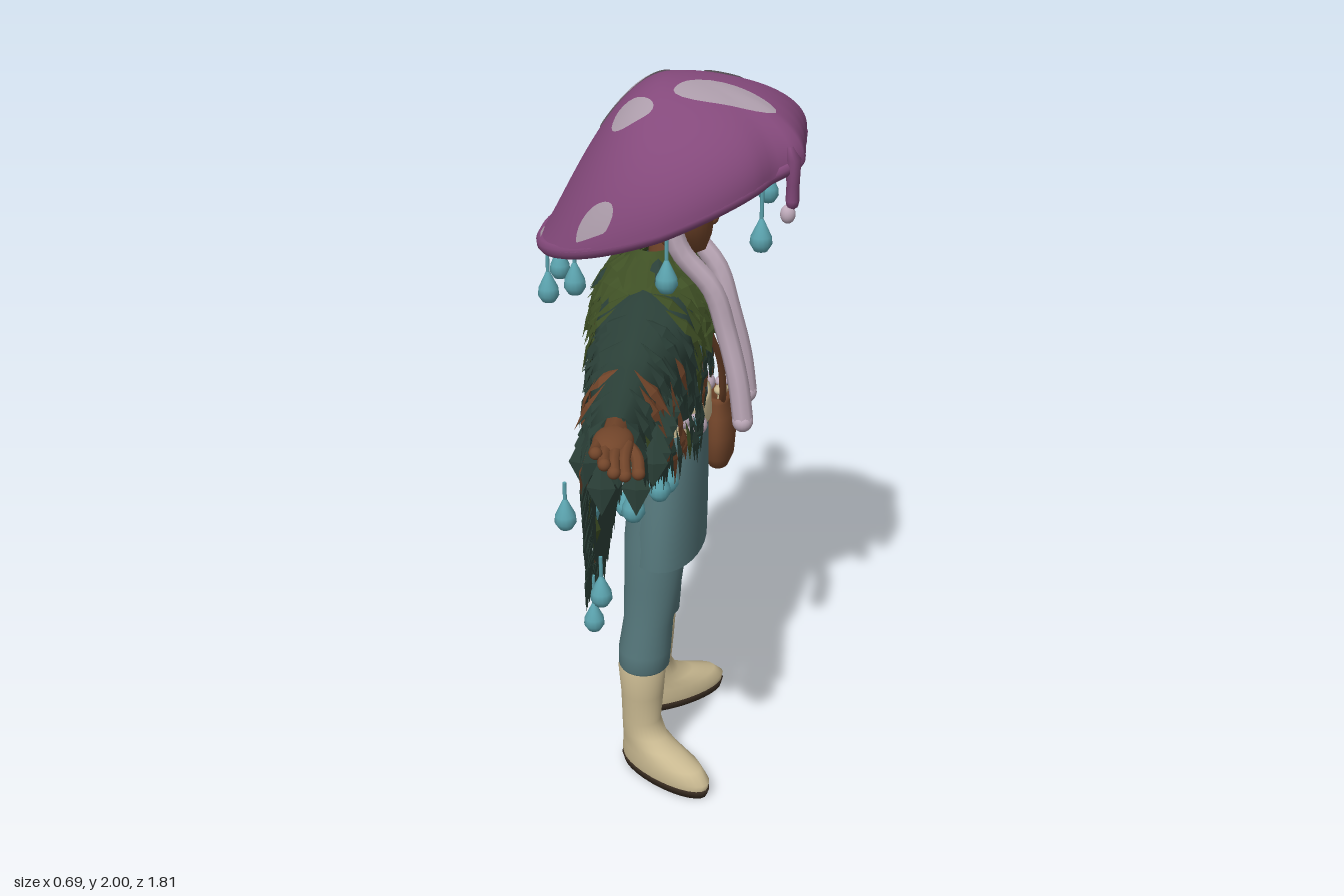
import * as THREE from 'three';
import { mergeVertices } from 'three/addons/utils/BufferGeometryUtils.js';

const V = (x, y, z) => new THREE.Vector3(x, y, z);
const mat = (name, color, side = THREE.FrontSide) => {
  const m = new THREE.MeshStandardMaterial({ color, side });
  m.name = name;
  return m;
};

// Piecewise-linear lookup in a short table of [key, value]
function look(table, k) {
  for (let i = 1; i < table.length; i++) {
    const [a, va] = table[i - 1], [b, vb] = table[i];
    if (k <= b) return va + (vb - va) * Math.max(0, (k - a) / (b - a));
  }
  return table[table.length - 1][1];
}

// Smooth surface from fn(u, v); its front is du x dv
function grid(nu, nv, fn) {
  const pos = [], idx = [];
  for (let j = 0; j <= nv; j++) for (let i = 0; i <= nu; i++) pos.push(...fn(i / nu, j / nv).toArray());
  for (let j = 0; j < nv; j++) for (let i = 0; i < nu; i++) {
    const a = j * (nu + 1) + i, d = a + nu + 1;
    idx.push(a, a + 1, d + 1, a, d + 1, d);
  }
  let g = new THREE.BufferGeometry();
  g.setAttribute('position', new THREE.Float32BufferAttribute(pos, 3));
  g.setIndex(idx);
  g = mergeVertices(g, 1e-5);
  g.computeVertexNormals();
  return g;
}

// Stacked ellipses [y, cx, cz, rx, rz], lowest first
const loft = (rings, n = 28) => grid(n, rings.length - 1, (u, v) => {
  const [y, cx, cz, rx, rz] = rings[Math.round(v * (rings.length - 1))], a = u * Math.PI * 2;
  return V(cx + rx * Math.sin(a), y, cz + rz * Math.cos(a));
});
const tube = (pts, r, n = 20) => new THREE.TubeGeometry(new THREE.CatmullRomCurve3(pts.map(p => V(...p))), n, r, 8);

// Mushroom cap surface: angle from the front, t from apex (0) to rim (1)
const RIM = [[0, .335], [.25, .346], [.44, .372], [.53, .36], [.64, .335], [.84, .348], [1.57, .361], [3.15, .345]];
function cap(a, t, apex = 1.998) {
  const ang = Math.abs(Math.atan2(Math.sin(a), Math.cos(a))), c = Math.cos(a);
  const full = look(RIM, ang), r = t * (.345 + (full - .345) * t ** 4);
  const rimY = 1.697 + (c > 0 ? .39 : .34) * full * c;
  const e = c > 0 ? .52 - .08 * c : .52 + .75 * c * c;
  return V(r * Math.sin(a), rimY + (apex - rimY) * Math.max(0, 1 - t * t) ** e, r * c);
}

// Cloak surface: x across the arms, s from front hem (-1) over the top (0) to back hem (1)
const TOP = [[0, 1.52], [.2, 1.49], [.35, 1.45], [.45, 1.42], [.6, 1.4], [.7, 1.39]];
const HEM_B = [[0, .58], [.1, .65], [.2, .72], [.3, .76], [.4, .83], [.5, .9], [.58, 1.03], [.65, 1.18], [.7, 1.32]];
const HEM_F = [[0, 1.4], [.05, 1.34], [.11, 1.23], [.17, 1.17], [.35, 1.2], [.5, 1.24], [.6, 1.28], [.7, 1.32]];
const drop = (x, s) => look(TOP, Math.abs(x)) - look(s > 0 ? HEM_B : HEM_F, Math.abs(x));
function cloak(x, s) {
  const a = Math.abs(x), d = Math.abs(s) * drop(x, s);
  const w = look(s > 0 ? [[0, .135], [.4, .1], [.7, .06]] : [[0, .14], [.25, .13], [.4, .08], [.7, .05]], a);
  return V(x, look(TOP, a) - d, -.055 - Math.sign(s) * w * Math.sqrt(1 - (1 - Math.min(1, d / .1)) ** 2));
}

export function createModel() {
  const purple = mat('cap purple', 0x84497b), lilac = mat('pale lilac', 0xbfabbb, THREE.DoubleSide);
  const spotGrey = mat('spot grey lilac', 0xac9caa, THREE.DoubleSide);
  const dark = mat('dark leaf green', 0x2b4038, THREE.DoubleSide), moss = mat('moss green', 0x3f5025, THREE.DoubleSide);
  const brown = mat('warm brown', 0x72452a, THREE.DoubleSide), teal = mat('cloth teal', 0x55777b, THREE.DoubleSide);
  const cream = mat('boot cream', 0xc9b991), blue = mat('dew blue', 0x5ba3ae, THREE.DoubleSide), sole = mat('sole brown', 0x3a2d22);
  const fig = new THREE.Group();
  fig.name = 'figure';
  const add = (name, geo, m, pos = [0, 0, 0], scale = [1, 1, 1], parent = fig) => {
    const o = new THREE.Mesh(geo, m);
    o.name = name;
    o.position.set(...pos);
    o.scale.set(...scale);
    parent.add(o);
  };
  const ball = new THREE.SphereGeometry(1, 20, 14);
  let seed = 7;
  const rnd = () => (seed = (seed * 16807) % 2147483647) / 2147483647;
  const TAU = Math.PI * 2;

  // Cap with thick rolled rim, pale underside, spots and drips
  add('cap', grid(72, 24, (u, v) => cap(u * TAU, Math.sin((1 - v) * Math.PI / 2))), purple);
  add('capUnderside', grid(72, 16, (u, v) => cap(-u * TAU, .985 * Math.cos(v * Math.PI / 2), 1.955).add(V(0, -.01, 0))), spotGrey);
  const rim = new THREE.CatmullRomCurve3(Array.from({ length: 48 }, (_, i) => cap(i / 48 * TAU, 1).multiply(V(.943, 1, .943))), true);
  add('capRim', new THREE.TubeGeometry(rim, 96, .021, 10, true), purple);
  const spots = [[.09, -.1, .105, .07, -.7], [.14, .12, .032, .05, 0], [-.1, .13, .055, .118, 0], [-.145, -.08, .04, .058, -.7],
    [.31, .19, .015, .028, 0], [-.31, .19, .015, .028, 0], [-.295, -.15, .018, .05, -.4], [.295, -.15, .018, .05, .4],
    [.12, -.3, .03, .014, 0], [-.08, -.32, .025, .01, 0]];
  spots.forEach(([cx, cz, rx, rz, rot]) => add('capSpot', grid(24, 6, (u, v) => {
    const wob = 1 + .08 * Math.sin(u * TAU * 3 + cx * 40), p = Math.sin(u * TAU) * rx * (1 - v) * wob, q = Math.cos(u * TAU) * rz * (1 - v) * wob;
    const x = cx + p * Math.cos(rot) + q * Math.sin(rot), z = cz - p * Math.sin(rot) + q * Math.cos(rot);
    const c = V(0, 1.7, 0);
    return cap(Math.atan2(x, z), Math.min(.985, Math.hypot(x, z) / .345)).sub(c).multiplyScalar(1.014).add(c);
  }), spotGrey));
  [[-.16, 1.735], [.15, 1.75], [-.1, 1.8]].forEach(([x, y]) => {
    add('capDrip', loft([[y - .025, x, .312, .001, .001], [y - .015, x, .312, .017, .014], [y, x, .312, .021, .017],
      [y + .04, x, .312, .02, .016], [1.84, x, .31, .036, .02], [1.87, x, .3, .02, .01]], 14), purple);
    if (y < 1.78) add('dripBead', ball, lilac, [x, y - .035, .302], [.019, .024, .019]);
  });

  // Head, hair and long locks
  add('head', loft([[1.535, 0, .06, .001, .001], [1.55, 0, .06, .028, .03], [1.59, 0, .047, .066, .058], [1.64, 0, .032, .092, .08],
    [1.7, 0, .028, .097, .083], [1.76, 0, .02, .088, .075], [1.82, 0, .02, .04, .04]]), brown);
  add('nose', ball, brown, [0, 1.64, .108], [.014, .025, .016]);
  add('neck', new THREE.CylinderGeometry(.045, .055, .14, 16), brown, [0, 1.53, -.01]);
  add('backHair', ball, lilac, [0, 1.7, -.04], [.115, .13, .095]);
  add('fringe', ball, lilac, [0, 1.785, .03], [.102, .062, .095]);
  for (const s of [-1, 1]) {
    add('sideHair', ball, lilac, [s * .103, 1.7, .015], [.028, .06, .05]);
    add('ear', ball, brown, [s * .097, 1.62, .0], [.016, .035, .022]);
    add('longLock', tube([[s * .104, 1.68, .0], [s * .1, 1.58, .03], [s * .09, 1.47, .115], [s * .085, 1.36, .15], [s * .092, 1.22, .185], [s * .095, 1.11, .2]], .028), lilac);
    add('lockEnd', ball, lilac, [s * .095, 1.105, .2], [.03, .03, .028]);
    add('beltKnot', ball, lilac, [s * .14, 1.11, .08], [.035, .028, .03]);
  }

  // Tunic, belt and skirt
  add('tunic', loft([[1.08, 0, .005, .16, .095], [1.2, 0, .005, .145, .092], [1.35, 0, -.01, .16, .09], [1.46, 0, -.03, .13, .075], [1.53, 0, -.01, .06, .06]]), teal);
  add('belt', loft([[1.08, 0, .005, .162, .1], [1.08, 0, .005, .168, .106], [1.14, 0, .005, .162, .104], [1.14, 0, .005, .15, .095]]), cream);
  add('skirt', loft([[.7, 0, -.013, .226, .113], [.8, 0, -.01, .22, .112], [.95, 0, -.003, .198, .106], [1.04, 0, .002, .175, .1], [1.09, 0, .005, .16, .096]], 36), teal);
  for (let i = 0; i < 14; i++) {
    const a = i / 14 * TAU + .22;
    if (Math.cos(a) < .75) add('beltTuft', ball, lilac, [.168 * Math.sin(a), 1.115 + .015 * (i % 2), .005 + .1 * Math.cos(a)], [.03, .026, .022]);
  }

  // Legs, boots, arms and hands
  for (const s of [-1, 1]) {
    add('trouserLeg', loft([[.34, s * .145, -.065, .06, .06], [.36, s * .145, -.062, .074, .072], [.41, s * .143, -.06, .078, .074], [.5, s * .138, -.05, .07, .07],
      [.62, s * .13, -.038, .077, .08], [.75, s * .115, -.03, .09, .088], [.9, s * .1, -.02, .09, .085]]), teal);
    const boot = new THREE.Group();
    boot.name = 'boot';
    boot.position.set(s * .147, 0, -.068);
    boot.rotation.y = s * .62;
    fig.add(boot);
    add('bootUpper', loft([[.02, 0, .087, .058, .154], [.045, 0, .087, .062, .159], [.075, 0, .073, .059, .141], [.1, 0, .035, .054, .1],
      [.125, 0, .008, .053, .072], [.17, 0, -.004, .053, .058], [.26, 0, 0, .06, .062], [.35, 0, 0, .068, .068], [.352, 0, 0, .05, .05]]), cream, [0, 0, 0], [1, 1, 1], boot);
    add('bootSole', loft([[0, 0, .087, .001, .001], [0, 0, .087, .056, .152], [.024, 0, .087, .062, .16], [.026, 0, .087, .05, .14]]), sole, [0, 0, 0], [1, 1, 1], boot);
    add('arm', tube([[s * .15, 1.4, -.05], [s * .45, 1.35, -.055], [s * .62, 1.35, -.055], [s * .76, 1.368, -.05]], .03), brown);
    add('palm', ball, brown, [s * .775, 1.365, -.05], [.065, .028, .046]);
    for (let f = 0; f < 4; f++) {
      const z = -.08 + f * .021, l = [.075, .095, .1, .08][f];
      add('finger', tube([[s * .79, 1.367, z], [s * (.8 + l * .6), 1.372 - f * .006, z], [s * (.79 + l), 1.38 - f * .016, z + .005]], .0145, 6), brown);
      add('fingertip', ball, brown, [s * (.79 + l), 1.38 - f * .016, z + .005], [.0145, .0145, .0145]);
    }
    add('thumb', tube([[s * .75, 1.355, -.03], [s * .785, 1.335, .003], [s * .825, 1.315, .012]], .015, 8), brown);
    add('thumbTip', ball, brown, [s * .825, 1.315, .012], [.015, .015, .015]);
  }

  // Cloak lining with overlapping pointed leaves
  add('cloak', grid(60, 32, (u, v) => cloak(-.7 + 1.4 * u, -1 + 2 * v)), dark);
  const leaves = { dark: [], moss: [], brown: [], blue: [] };
  function leaf(key, p, down, out, L, W, lift = .018) {
    const side = down.clone().cross(out).normalize();
    const a = p.clone().addScaledVector(out, .006), tip = p.clone().addScaledVector(down, L).addScaledVector(out, lift);
    const mid = a.clone().lerp(tip, .5).addScaledVector(out, .012);
    const l = mid.clone().addScaledVector(side, -W).addScaledVector(out, -.008), r = mid.clone().addScaledVector(side, W).addScaledVector(out, -.008);
    for (const q of [a, l, mid, a, mid, r, l, tip, mid, mid, tip, r]) leaves[key].push(q.x, q.y, q.z);
  }
  function cloakLeaf(x, s) {
    const sg = Math.sign(s), p = cloak(x, s), after = cloak(x, s + sg * .08 / drop(x, s));
    const down = after.sub(p).normalize();
    const out = V(1, 0, 0).cross(down).multiplyScalar(sg).normalize();
    down.x += (rnd() - .5) * .5 + Math.sign(x) * .1;
    down.normalize();
    const a = Math.abs(x), k = rnd(), low = p.y < 1.18;
    let key = k < (low ? .01 : .045) ? 'brown' : k < (low ? .06 : .11) ? 'moss' : k > .993 ? 'blue' : 'dark';
    if (p.y > 1.37 && a < .25) key = k < .07 ? 'brown' : 'moss';
    else if ((Math.abs(a - .51) < .04 && p.y > 1.34) || (Math.abs(p.y - 1.28) < .04 && a < .5 && k < (s > 0 ? .6 : .3))) key = 'brown';
    leaf(key, p, down, out, .1 + .045 * rnd(), .032 + .016 * rnd());
  }
  for (const sg of [-1, 1]) {
    for (let x = -.69, c = 0; x < .7; x += .05, c++) {
      const len = drop(x, sg);
      for (let d = .0015 + (c % 2) * .01; d < len; d += d < .012 ? .035 : .062) cloakLeaf(x + (rnd() - .5) * .03, sg * d / len);
    }
    for (let x = -.7; x <= .7; x += .027) if (sg > 0 || Math.abs(x) > .04) cloakLeaf(x, sg * .99);
  }
  for (const s of [-1, 1]) {
    // Stray leaves and dew on the lining
    for (const [x, t, key] of [[.32, .62, 'blue'], [.47, .66, 'blue'], [.42, .46, 'brown'], [.53, .8, 'moss']])
      leaf(key, cloak(s * x, t), V(s * .3, -.95, 0), V(0, 0, 1), .07, .028, .01);
    // Leaves hanging below the sleeve
    for (let x = .18; x < .68; x += .07) for (let i = 0; i < 5; i++)
      leaf('dark', V(s * (x + .02 * rnd()), 1.34 - .06 * (i % 2), -.13 + i * .04), V(0, -1, 0), V(s, 0, 0), .12 + .03 * rnd(), .034);
  }

  // Mossy shoulder mantle
  const MANTLE = [[1.37, .21], [1.46, .175], [1.52, .115], [1.56, .07]];
  const mantle = (a, y) => V(look(MANTLE, y) * Math.sin(a), y, -.045 + look(MANTLE, y) * .72 * Math.cos(a));
  add('mantle', grid(32, 8, (u, v) => mantle(u * TAU, 1.38 + .18 * v)), moss);
  for (let row = 0; row < 5; row++) for (let i = 0; i < 20; i++) {
    const a = (i + row * .5) / 20 * TAU, y = 1.4 + row * .036, p = mantle(a, y);
    const down = mantle(a + (rnd() - .5) * .2, y - .03).sub(p).normalize();
    const out = V(Math.cos(a), 0, -Math.sin(a)).cross(down).negate().normalize();
    if (out.y < 0) out.negate();
    leaf(rnd() < .06 ? 'dark' : 'moss', p, down, out, .085 + rnd() * .03, .036);
  }
  for (const [key, m] of [['dark', dark], ['moss', moss], ['brown', brown], ['blue', blue]]) {
    const g = new THREE.BufferGeometry();
    g.setAttribute('position', new THREE.Float32BufferAttribute(leaves[key], 3));
    g.computeVertexNormals();
    add(key + 'Leaves', g, m);
  }

  // Hanging dew drops: [x, y, z, string top]
  const dropGeo = new THREE.LatheGeometry([[0, -.043], [.017, -.037], [.028, -.019], [.026, 0], [.015, .023], [.006, .042], [0, .05]].map(p => new THREE.Vector2(...p)), 14);
  const drops = [[.31, 1.58, .02, 1.69], [.2, 1.655, .24, 1.79], [.21, 1.53, -.22, 1.61], [.09, 1.46, -.31, 1.58], [.67, 1.15, -.02, 1.3], [.48, 1.105, .02, 1.23],
    [.33, 1.05, .025, 1.2], [.48, 1.01, -.215, 1.1], [.54, .83, -.12, .93], [.32, .61, -.175, .74]];
  for (const s of [-1, 1]) for (const [x, y, z, top] of drops) {
    add('dewDrop', dropGeo, blue, [s * x, y, z]);
    add('dewString', new THREE.CylinderGeometry(.005, .005, top - y - .03, 6), blue, [s * x, (top + y + .03) / 2, z]);
  }

  // Shoulder bag with strap and small mushrooms
  add('bag', loft([[.805, .24, .115, .001, .001], [.812, .24, .115, .05, .03], [.85, .24, .115, .08, .045], [.92, .24, .115, .09, .05],
    [.98, .24, .113, .08, .045], [1.02, .24, .112, .066, .036], [1.04, .24, .112, .07, .038], [1.035, .24, .112, .05, .02], [1.01, .24, .112, .001, .001]]), brown);
  add('strap', tube([[.02, 1.31, .1], [.09, 1.2, .125], [.16, 1.07, .13], [.2, 1.02, .125]], .01), brown);
  [[.22, 1.05], [.25, 1.065], [.265, 1.035]].forEach(([x, y], i) => {
    add('mushroomStalk', new THREE.CylinderGeometry(.009, .011, .06, 8), cream, [x, y - .03, .12]);
    add('mushroomTop', ball, i === 1 ? lilac : cream, [x, y, .12], [.022, .014, .02]);
  });

  // The figure looks along +x
  fig.rotation.y = Math.PI / 2;
  const root = new THREE.Group();
  root.name = 'mushroomForager';
  root.add(fig);
  return root;
}
